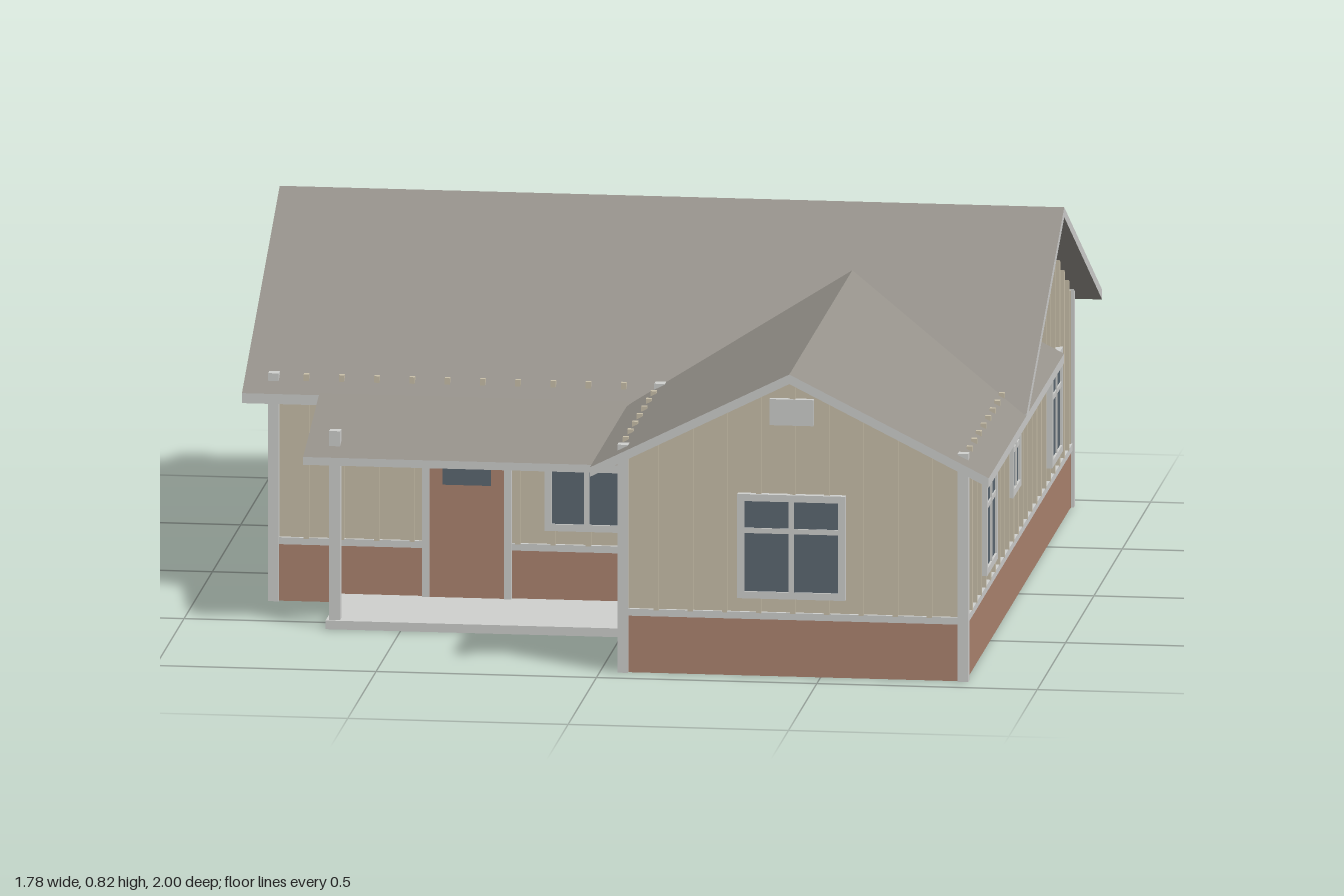
import * as THREE from 'three';

const mat = (name, color) => {
  const m = new THREE.MeshStandardMaterial({ color });
  m.name = name;
  return m;
};

export function createModel() {
  const siding = mat('cream siding', 0xc9c0aa);
  const brick = mat('brick red', 0xad8470);
  const trim = mat('pale grey trim', 0xcfd0ce);
  const shingle = mat('grey shingle', 0x96928b);
  const glass = mat('blue grey glass', 0x5c6872);

  const house = new THREE.Group();
  house.name = 'house';

  // Box given by its min and max on each axis
  const box = (parent, name, m, x0, x1, y0, y1, z0, z1) => {
    const mesh = new THREE.Mesh(new THREE.BoxGeometry(x1 - x0, y1 - y0, z1 - z0), m);
    mesh.position.set((x0 + x1) / 2, (y0 + y1) / 2, (z0 + z1) / 2);
    mesh.name = name;
    parent.add(mesh);
    return mesh;
  };

  // Sloping roof slab with plumb-cut pale edges; falls from local z = 0 to z = run
  const roofSlab = (name, width, run, thick, drop, pos, turn) => {
    const g = new THREE.BoxGeometry(width, thick, run);
    g.translate(0, -thick / 2, run / 2);
    const p = g.attributes.position;
    for (let i = 0; i < p.count; i++) p.setY(i, p.getY(i) - (drop * p.getZ(i)) / run);
    g.computeVertexNormals();
    const mesh = new THREE.Mesh(g, [trim, trim, shingle, shingle, trim, trim]);
    mesh.name = name;
    mesh.position.set(...pos);
    mesh.rotation.y = turn;
    house.add(mesh);
  };

  // Window: glass through the wall, frame, one upright and one crossbar
  const addWindow = (wall, { u, w, y = 0.18, h = 0.24 }) => {
    const win = new THREE.Group();
    win.name = 'window';
    wall.add(win);
    const a = u - w / 2, b = u + w / 2, f = 0.016, top = y + h, bar = y + h * 0.65;
    box(win, 'glass', glass, a + 0.005, b - 0.005, y + 0.005, top - 0.005, -0.03, 0.011);
    box(win, 'frameSide', trim, a, a + f, y, top, 0, 0.016);
    box(win, 'frameSide', trim, b - f, b, y, top, 0, 0.016);
    box(win, 'frameSill', trim, a + f, b - f, y, y + f, 0, 0.016);
    box(win, 'frameHead', trim, a + f, b - f, top - f, top, 0, 0.016);
    box(win, 'mullion', trim, u - 0.006, u + 0.006, y + f, top - f, 0, 0.015);
    box(win, 'crossbar', trim, a + f, b - f, bar - 0.006, bar + 0.006, 0, 0.014);
  };

  // Wall in local space: u along x, outside towards +z; outline is the top edge
  const EAVE = 0.5, PITCH = 0.08;
  const addWall = (name, pos, turn, outline, windows) => {
    const wall = new THREE.Group();
    wall.name = name;
    wall.position.set(pos[0], 0, pos[1]);
    wall.rotation.y = turn;
    house.add(wall);
    const u0 = outline[0][0], u1 = outline[outline.length - 1][0];

    const s = new THREE.Shape();
    s.moveTo(u0, 0.13);
    s.lineTo(u1, 0.13);
    for (const [u, y] of [...outline].reverse()) s.lineTo(u, y);
    s.closePath();
    const g = new THREE.ExtrudeGeometry(s, { depth: 0.02, bevelEnabled: false });
    g.translate(0, 0, -0.02);
    const panel = new THREE.Mesh(g, siding);
    panel.name = 'siding';
    wall.add(panel);

    box(wall, 'brickBase', brick, u0, u1, 0, 0.135, -0.024, 0.004);
    box(wall, 'baseTrim', trim, u0, u1, 0.131, 0.147, 0, 0.008);

    // Upright battens, following the top edge
    const n = Math.round((u1 - u0) / PITCH);
    for (let i = 1; i < n; i++) {
      const u = u0 + ((u1 - u0) * i) / n;
      const k = outline.findIndex((q) => q[0] >= u);
      const [a, ya] = outline[k - 1], [b, yb] = outline[k];
      let top = ya + ((yb - ya) * (u - a)) / (b - a);
      if (ya === yb) top += 0.024;
      box(wall, 'batten', siding, u - 0.006, u + 0.006, 0.145, top, -0.004, 0.009);
    }
    windows.forEach((w) => addWindow(wall, w));
    return wall;
  };

  const H = Math.PI / 2;
  const front = addWall('frontWall', [0, 0.28], 0, [[-0.83, EAVE], [0.05, EAVE]],
    [{ u: -0.113, w: 0.19 }]);
  const wingFront = addWall('wingFrontWall', [0, 0.93], 0,
    [[0.05, EAVE], [0.4375, 0.69], [0.825, EAVE]], [{ u: 0.435, w: 0.245 }]);
  addWall('wingLeftWall', [0.05, 0], -H, [[0.28, EAVE], [0.93, EAVE]], [{ u: 0.6, w: 0.19 }]);
  addWall('rightWall', [0.825, 0], H,
    [[-0.93, EAVE], [-0.28, EAVE], [0.333, 0.8], [0.935, EAVE]],
    [{ u: -0.55, w: 0.19 }, { u: -0.114, w: 0.14, y: 0.26, h: 0.16 }, { u: 0.6, w: 0.19 }]);
  addWall('leftWall', [-0.825, 0], -H, [[-0.935, EAVE], [-0.333, 0.8], [0.28, EAVE]],
    [{ u: -0.55, w: 0.19 }, { u: -0.08, w: 0.19 }]);
  addWall('backWall', [0, -0.935], Math.PI, [[-0.83, EAVE], [0.83, EAVE]],
    [{ u: -0.61, w: 0.245 }, { u: -0.18, w: 0.14 }, { u: 0.5, w: 0.19 }]);

  // Gable vent
  box(wingFront, 'gableVent', trim, 0.385, 0.485, 0.58, 0.64, 0, 0.014);

  // Front door with its casing and pane
  box(front, 'door', brick, -0.47, -0.3, 0.02, 0.385, -0.03, 0.012);
  box(front, 'doorCasing', trim, -0.486, -0.47, 0.02, 0.4, 0, 0.016);
  box(front, 'doorCasing', trim, -0.3, -0.284, 0.02, 0.4, 0, 0.016);
  box(front, 'doorHead', trim, -0.47, -0.3, 0.385, 0.4, 0, 0.016);
  box(front, 'doorPane', glass, -0.44, -0.33, 0.28, 0.37, 0.012, 0.016);

  // Corner posts, just breaking through the roof
  const corners = [[-0.824, 0.28], [0.052, 0.28], [0.052, 0.93], [0.824, 0.93], [0.824, -0.933], [-0.824, -0.933]];
  for (const [x, z] of corners)
    box(house, 'cornerPost', trim, x - 0.012, x + 0.012, 0, 0.525, z - 0.012, z + 0.012);

  // Porch
  box(house, 'porchFloor', trim, -0.67, 0.06, 0, 0.02, 0.28, 0.57);
  box(house, 'porchPost', trim, -0.663, -0.638, 0, 0.455, 0.54, 0.563);
  roofSlab('porchRoof', 0.76, 0.335, 0.018, 0.099, [-0.335, 0.504, 0.28], 0);

  // Main roof and the lower cross gable over the wing
  for (const turn of [0, Math.PI])
    roofSlab('mainRoof', 1.78, 0.667, 0.023, 0.3335, [0, 0.82, -0.333], turn);
  for (const turn of [-H, H])
    roofSlab('wingRoof', 1.33, 0.4525, 0.022, 0.2263, [0.4375, 0.71, 0.335], turn);

  return house;
}
